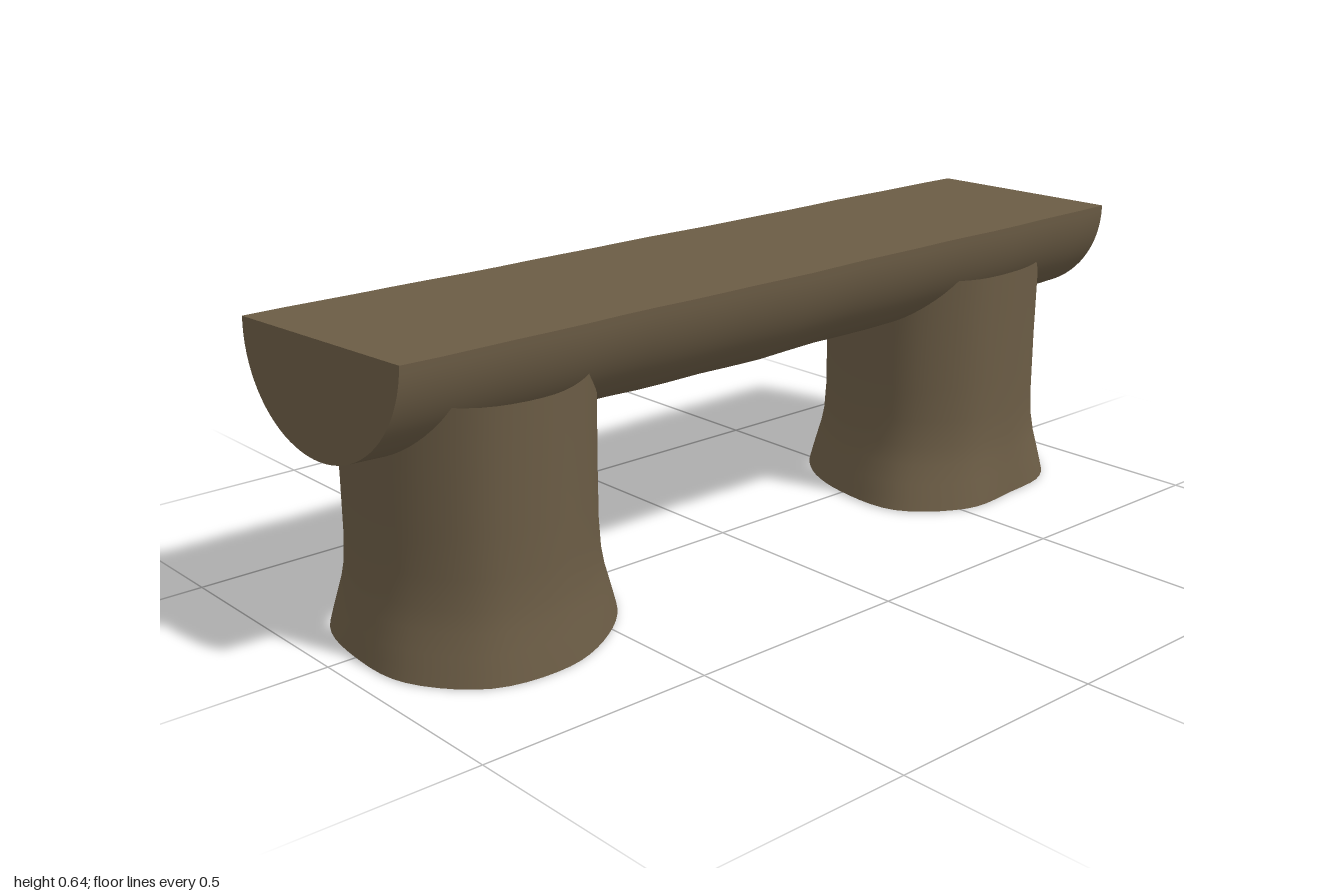
import * as THREE from 'three';
import { toCreasedNormals } from 'three/addons/utils/BufferGeometryUtils.js';

const wood = new THREE.MeshStandardMaterial({ color: 0x6b5c45, side: THREE.DoubleSide });
wood.name = 'brown wood';

// Half log section: flat top height, depth below it, half width and z offset.
const top = 0.637, depth = 0.228, halfWidth = 0.235, offset = 0.008;

// Move every vertex of a geometry by a rule, then smooth all but the sharp edges.
function reshape(geometry, rule) {
  const p = geometry.attributes.position;
  const v = new THREE.Vector3();
  for (let i = 0; i < p.count; i++) {
    rule(v.fromBufferAttribute(p, i));
    p.setXYZ(i, v.x, v.y, v.z);
  }
  return toCreasedNormals(geometry, 0.75);
}

// Seat: half log with a flat top and skewed saw cuts at both ends.
function createSeat() {
  const shape = new THREE.Shape();
  shape.absellipse(0, top, halfWidth, depth, Math.PI, Math.PI * 2, false);
  shape.closePath();
  const geometry = new THREE.ExtrudeGeometry(shape, { depth: 1, steps: 24, bevelEnabled: false, curveSegments: 20 });
  geometry.rotateY(Math.PI / 2);
  const seat = new THREE.Mesh(reshape(geometry, (v) => {
    const u = v.x;
    const across = (v.z + halfWidth) / (2 * halfWidth);
    const down = (top - v.y) / depth;
    const left = -1 + 0.04 * across - 0.012 * down;
    const right = 0.977 + 0.018 * across + 0.008 * down;
    const swell = 1 + 0.008 * Math.sin(u * 17) + 0.006 * Math.sin(u * 41);
    v.x = THREE.MathUtils.lerp(left, right, u);
    v.y = top - (top - v.y) * swell;
    v.z = v.z * swell + offset + 0.006 * Math.sin(Math.PI * u);
  }), wood);
  seat.name = 'seat';
  return seat;
}

// Smooth closed outline from radii at equal angles, from +x towards +z.
function outline(radii) {
  const points = radii.map((r, i) => {
    const a = (i / radii.length) * Math.PI * 2;
    return new THREE.Vector3(r * Math.cos(a), 0, r * Math.sin(a));
  });
  return new THREE.CatmullRomCurve3(points, true, 'catmullrom', 0.5);
}

// Stump heights, and how far each level flares from trunk to root outline.
const levels = [
  [0.004, 1], [0.03, 0.82], [0.06, 0.6], [0.1, 0.3], [0.14, 0.1],
  [0.2, 0], [0.28, 0], [0.36, 0], [0.45, 0.03], [0.53, 0.06],
];
const notchStart = 0.2, rim = 0.53;

// Stump: hollow flared trunk, notched on top to cradle the half log.
function createStump(name, x, trunkRadii, rootRadii) {
  const trunk = outline(trunkRadii);
  const root = outline(rootRadii);
  const rows = levels.length - 1;
  const geometry = new THREE.CylinderGeometry(1, 1, 1, 60, rows, true);
  const stump = new THREE.Mesh(reshape(geometry, (v) => {
    const [y, flare] = levels[Math.round((v.y + 0.5) * rows)];
    const t = (Math.atan2(v.z, v.x) / (Math.PI * 2) + 1) % 1;
    v.copy(trunk.getPoint(t)).lerp(root.getPoint(t), flare);
    const across = Math.min(1, Math.abs(v.z - offset) / halfWidth);
    const notch = Math.min(rim, top + 0.008 - depth * Math.sqrt(1 - across * across));
    if (y > notchStart) {
      v.y = THREE.MathUtils.lerp(notchStart, notch, (y - notchStart) / (rim - notchStart));
    } else {
      // The foot is cut at a slight tilt.
      v.y = y - 0.012 * v.z * (1 - y / notchStart);
    }
  }), wood);
  stump.position.x = x;
  stump.name = name;
  return stump;
}

export function createModel() {
  const bench = new THREE.Group();
  bench.name = 'log bench';
  bench.add(
    createSeat(),
    createStump('rightStump', -0.66,
      [0.243, 0.245, 0.25, 0.275, 0.288, 0.27, 0.255, 0.25, 0.248, 0.252, 0.254, 0.25],
      [0.288, 0.28, 0.28, 0.303, 0.325, 0.312, 0.283, 0.288, 0.29, 0.31, 0.302, 0.298]),
    createStump('leftStump', 0.67,
      [0.258, 0.25, 0.245, 0.243, 0.265, 0.275, 0.257, 0.245, 0.247, 0.25, 0.26, 0.26],
      [0.308, 0.285, 0.28, 0.266, 0.31, 0.332, 0.296, 0.285, 0.285, 0.31, 0.31, 0.31]),
  );
  return bench;
}
